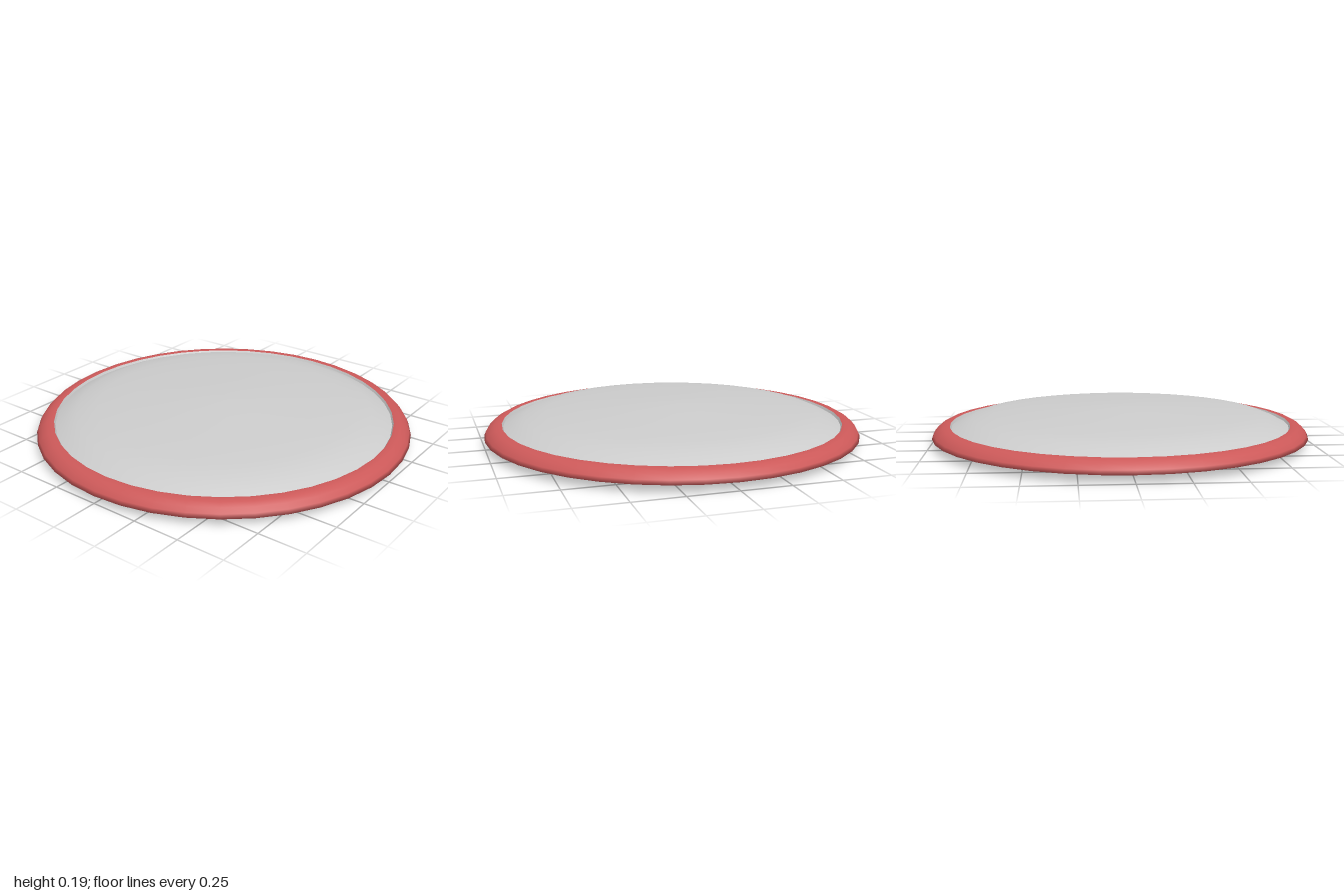
import * as THREE from 'three';

const SEGMENTS = 40;

// Smooth turned part from a profile of [radius, height] running outward and up
function turned(name, profile, color) {
  const points = profile.map(([r, y]) => new THREE.Vector2(r, y));
  const mesh = new THREE.Mesh(
    new THREE.LatheGeometry(points, SEGMENTS),
    new THREE.MeshStandardMaterial({ color })
  );
  mesh.name = name;
  return mesh;
}

export function createModel() {
  const model = new THREE.Group();
  model.name = 'disc';

  // Shallow dish: nearly flat underside, rounded rim
  model.add(turned('base', [
    [0, 0], [0.7, 0.004], [0.9, 0.015], [1, 0.04], [0.99, 0.06],
    [0.97, 0.082], [0.945, 0.096], [0.92, 0.1], [0.907, 0.098]
  ], 0xcc5959));

  // Small step between the rim and the dome
  model.add(turned('rimStep', [[0.907, 0.098], [0.9, 0.085]], 0xcccccc));

  // Low domed top
  model.add(turned('dome', [
    [0.9, 0.085], [0.86, 0.105], [0.79, 0.133], [0.68, 0.15],
    [0.5, 0.164], [0.25, 0.179], [0.1, 0.185], [0, 0.186]
  ], 0xcccccc));

  return model;
}
